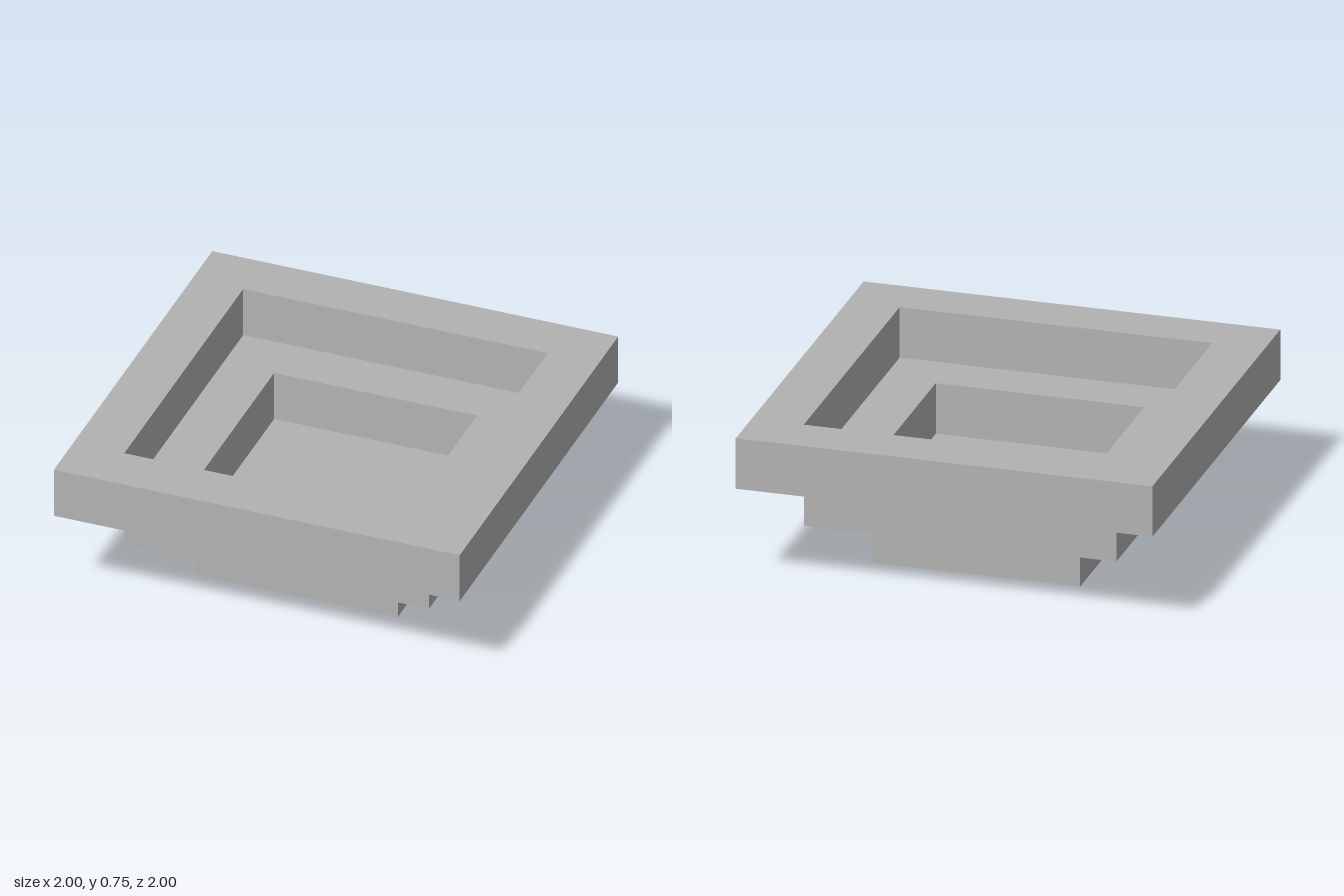
import * as THREE from 'three';

const TIER = 0.25; // height of every step

function square(PathType, half) {
  return new PathType([
    new THREE.Vector2(-half, -half),
    new THREE.Vector2(half, -half),
    new THREE.Vector2(half, half),
    new THREE.Vector2(-half, half),
  ]);
}

export function createModel() {
  const model = new THREE.Group();
  model.name = 'steppedBasin';
  const stone = new THREE.MeshStandardMaterial({ color: 0xb2b2b2, side: THREE.DoubleSide });
  stone.name = 'grey stone';

  function add(name, geometry, y) {
    const mesh = new THREE.Mesh(geometry, stone);
    mesh.name = name;
    mesh.position.y = y;
    model.add(mesh);
    return mesh;
  }

  // Two square rings, each step wider than the one below
  [['middleRing', 0.75, 0.5, TIER], ['upperRing', 1, 0.75, 2 * TIER]].forEach(([name, outer, inner, y]) => {
    const shape = square(THREE.Shape, outer);
    shape.holes.push(square(THREE.Path, inner));
    const ring = new THREE.ExtrudeGeometry(shape, { depth: TIER, bevelEnabled: false });
    add(name, ring.rotateX(-Math.PI / 2), y);
  });

  // Thin floor closing the middle ring
  add('basinFloor', new THREE.PlaneGeometry(1, 1).rotateX(-Math.PI / 2), TIER);

  // Thin-walled foot, open underneath
  for (let i = 0; i < 4; i++) {
    const wall = new THREE.PlaneGeometry(1, TIER).translate(0, 0, 0.5).rotateY(i * Math.PI / 2);
    add('footWall', wall, TIER / 2);
  }
  return model;
}
